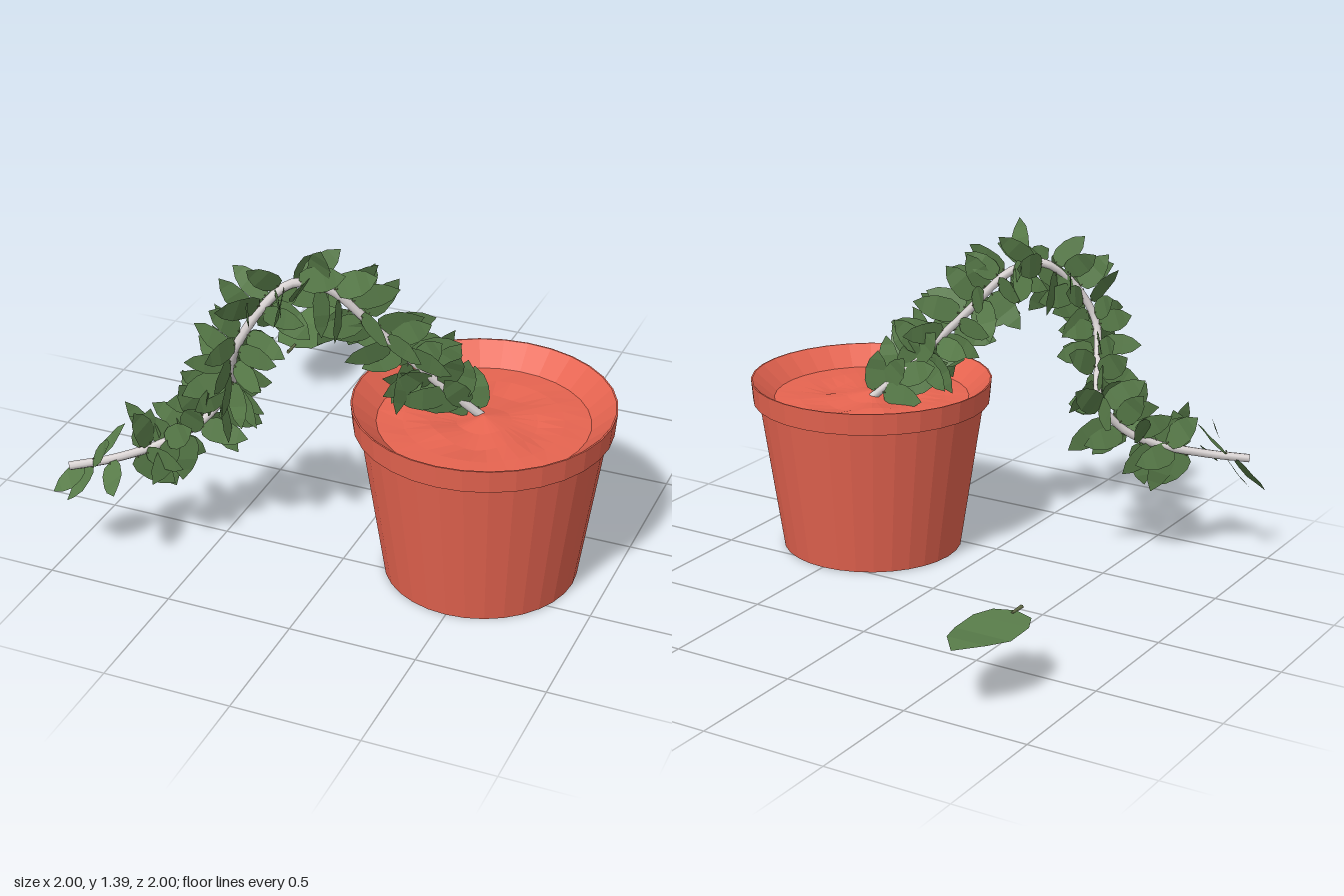
import * as THREE from 'three';
import { mergeGeometries } from 'three/addons/utils/BufferGeometryUtils.js';

const V = (x, y, z) => new THREE.Vector3(x, y, z);
const POT = V(0.5, 0, 0.325);

function seeded(seed) {
  return () => {
    seed = (seed * 16807) % 2147483647;
    return seed / 2147483647;
  };
}

// Full-size leaf blade: base at the origin, pointing along +z, facing +y, bent up towards the tip
function bladeGeometry() {
  const rows = [ // distance, half width, height
    [0.045, 0.01, 0.006], [0.07, 0.08, 0.005], [0.15, 0.115, 0.004],
    [0.28, 0.115, 0.001], [0.39, 0.08, 0.017], [0.49, 0.002, 0.019],
  ];
  const g = new THREE.PlaneGeometry(2, 1, 2, rows.length - 1);
  const p = g.attributes.position;
  for (let i = 0; i < p.count; i++) {
    const [z, half, y] = rows[rows.length - 1 - Math.floor(i / 3)];
    p.setXYZ(i, -p.getX(i) * half, y, z);
  }
  g.index.array.reverse();
  g.computeVertexNormals();
  return g;
}

function stalkGeometry() {
  return new THREE.CylinderGeometry(0.006, 0.008, 0.07, 5).rotateX(Math.PI / 2).translate(0, 0.006, 0.035);
}

// Placement matrix from base point, pointing direction, rough facing and size
function leafMatrix(base, dir, facing, size) {
  const z = dir.clone().normalize();
  const x = facing.clone().cross(z).normalize();
  const y = z.clone().cross(x);
  return new THREE.Matrix4().makeBasis(x, y, z).scale(V(size, size, size)).setPosition(base);
}

export function createModel() {
  const model = new THREE.Group();
  const terracotta = new THREE.MeshStandardMaterial({ color: 0xe66450 });
  const leafGreen = new THREE.MeshStandardMaterial({ color: 0x597d4a });
  const stalkOlive = new THREE.MeshStandardMaterial({ color: 0x66704a });
  const vineGrey = new THREE.MeshStandardMaterial({ color: 0xd8d2d2 });
  terracotta.flatShading = leafGreen.flatShading = true;
  leafGreen.side = THREE.DoubleSide;

  const add = (name, geometry, material) => {
    const mesh = new THREE.Mesh(geometry, material);
    mesh.name = name;
    model.add(mesh);
    return mesh;
  };

  // Tapered pot with a collar and an inward-sloping lip
  const profile = [[0, 0], [0.372, 0], [0.465, 0.625], [0.488, 0.625], [0.496, 0.715], [0.49, 0.715], [0.4, 0.635]];
  add('pot', new THREE.LatheGeometry(profile.map(([r, y]) => new THREE.Vector2(r, y)), 32), terracotta)
    .position.copy(POT);

  // Slightly lumpy soil
  const soil = new THREE.RingGeometry(0.001, 0.402, 32, 4).rotateX(-Math.PI / 2);
  const sp = soil.attributes.position;
  for (let i = 0; i < sp.count; i++) {
    const x = sp.getX(i), z = sp.getZ(i);
    const fade = Math.max(0, 1 - Math.hypot(x, z) / 0.4);
    sp.setY(i, 0.636 + 0.025 * fade * Math.sin(x * 19 + 1) * Math.cos(z * 17));
  }
  add('soil', soil, terracotta).position.copy(POT);

  // Arching vine
  const path = new THREE.CatmullRomCurve3([
    V(0.52, 0.6, 0.28), V(0.34, 0.78, 0.37), V(0.14, 1.0, 0.46), V(-0.03, 1.19, 0.55),
    V(-0.14, 1.22, 0.62), V(-0.23, 1.13, 0.7), V(-0.31, 0.98, 0.745), V(-0.36, 0.84, 0.68),
    V(-0.43, 0.7, 0.57), V(-0.51, 0.58, 0.63), V(-0.62, 0.51, 0.72), V(-0.78, 0.465, 0.84), V(-0.93, 0.445, 0.93),
  ]);
  add('vine', new THREE.TubeGeometry(path, 70, 0.017, 8), vineGrey);

  // Leaves in a spiral along the vine, mostly hanging with their faces to the side
  const random = seeded(4711);
  const spread = (a) => (random() * 2 - 1) * a;
  const placements = [];
  const count = 120;
  for (let i = 0; i < count; i++) {
    const t = 0.03 + 0.87 * (i + random()) / count;
    const falling = t > 0.42 && t < 0.66;
    const base = path.getPointAt(t);
    const along = path.getTangentAt(t);
    const side = V(-along.z, 0, along.x).normalize();
    const up = side.clone().cross(along).normalize();
    if (up.y < 0) up.negate();
    const angle = i * 2.4 + spread(0.4);
    const dir = up.clone().multiplyScalar(Math.cos(angle))
      .addScaledVector(side, Math.sin(angle) * (falling ? 0.6 : 0.3))
      .addScaledVector(along, spread(0.6)).normalize();
    dir.y *= base.y > 1.12 ? 0.45 : 0.6;
    // Leaves by the soil lean along the vine
    if (t < 0.12) dir.addScaledVector(along, 0.8);
    const facing = V(-dir.z, 0, dir.x).normalize();
    if (!falling) facing.lerp(side.clone().multiplyScalar(Math.sign(facing.dot(side)) || 1), 0.5);
    facing.applyAxisAngle(V(0, 1, 0), spread(falling ? 0.5 : 0.35));
    facing.y = spread(0.35);
    placements.push(leafMatrix(base, dir, facing, 0.36 + random() * 0.08));
  }

  // Leaves around the vine tip, tilted up and outward
  for (const [base, dir, facing] of [
    [V(-0.87, 0.455, 0.89), V(-0.13, -0.14, 0.04), V(-0.5, 0.5, 0.7)],
    [V(-0.86, 0.455, 0.88), V(0.1, 0.11, 0.05), V(-0.6, 0.5, 0.5)],
    [V(-0.86, 0.455, 0.88), V(0.08, 0.1, -0.06), V(-0.6, 0.6, 0.4)],
    [V(-0.84, 0.455, 0.88), V(-0.06, -0.1, 0.04), V(-0.6, 0.6, 0.5)],
    [V(-0.8, 0.46, 0.85), V(0.06, -0.03, 0.09), V(-0.5, 0.7, 0.4)],
  ]) placements.push(leafMatrix(base, dir, facing, 0.4));

  const blade = bladeGeometry(), stalk = stalkGeometry();
  const gather = (g) => mergeGeometries(placements.map((m) => g.clone().applyMatrix4(m)));
  add('vineLeaves', gather(blade), leafGreen);
  add('leafStalks', gather(stalk), stalkOlive);

  // Single large loose leaf
  const loose = leafMatrix(V(-0.69, 0.253, -0.5), V(0, 0, -1), V(0, 1, 0), 1);
  add('looseLeaf', blade.clone().applyMatrix4(loose), leafGreen);
  add('looseLeafStalk', stalk.clone().applyMatrix4(loose), stalkOlive);

  return model;
}
